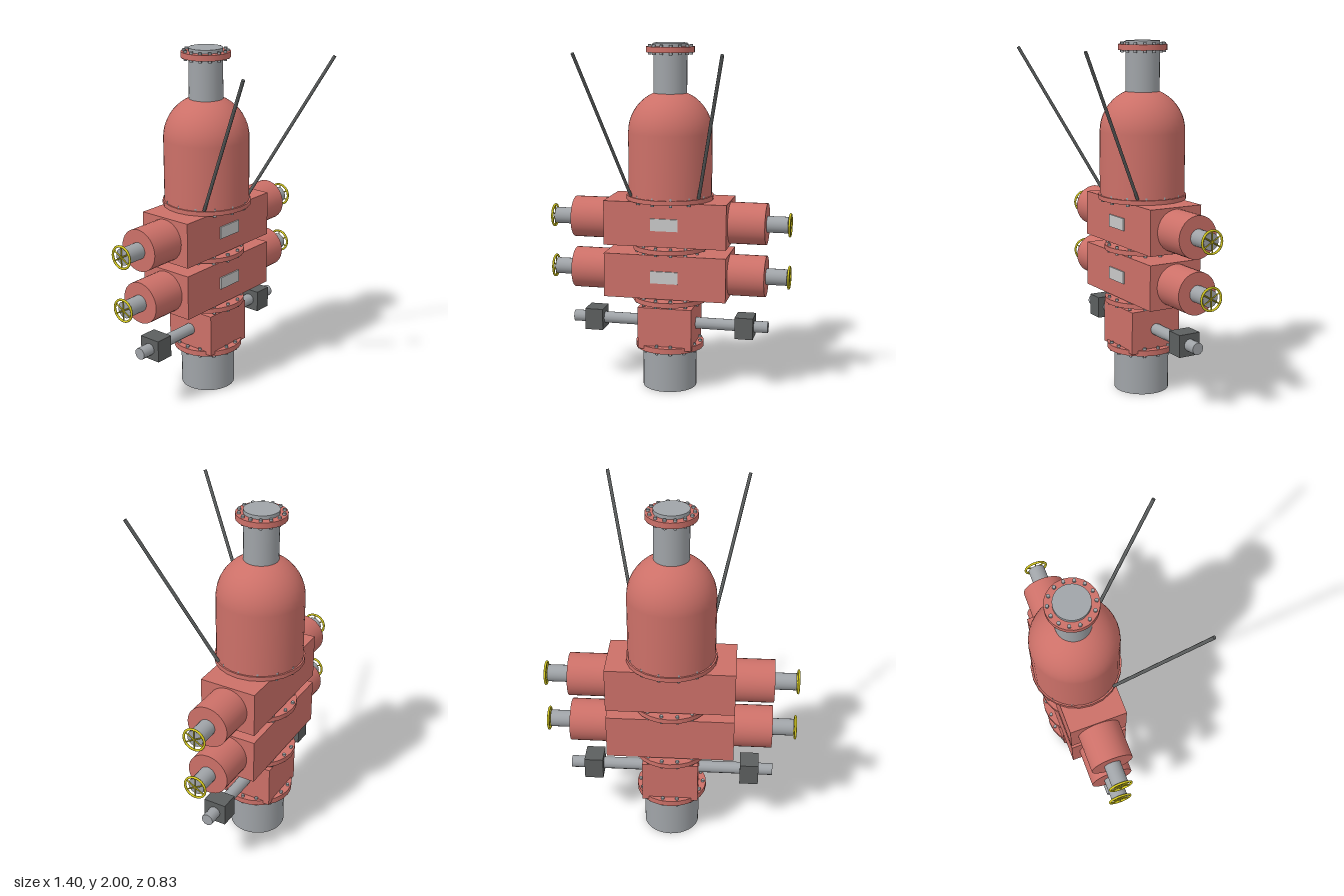
import * as THREE from 'three';

const mat = (name, color) => {
  const m = new THREE.MeshStandardMaterial({ color });
  m.name = name;
  return m;
};

export function createModel() {
  const red = mat('red paint', 0xcc7068);
  const steel = mat('steel grey', 0xa0a4a8);
  const dark = mat('dark iron', 0x5c5f5f);
  const yellow = mat('yellow paint', 0xd8cc20);
  const silver = mat('silver plate', 0xc8c8c8);

  const model = new THREE.Group();
  model.name = 'wellStack';
  // Everything is built around the vertical bore axis, which sits behind z = 0
  const stack = new THREE.Group();
  stack.name = 'stack';
  stack.position.z = -0.166;
  model.add(stack);

  const add = (name, geometry, material, x = 0, y = 0, z = 0, parent = stack) => {
    const mesh = new THREE.Mesh(geometry, material);
    mesh.name = name;
    mesh.position.set(x, y, z);
    parent.add(mesh);
    return mesh;
  };
  // Upright cylinder between two heights
  const pipe = (name, r, y0, y1, material, sides = 32) =>
    add(name, new THREE.CylinderGeometry(r, r, y1 - y0, sides), material, 0, (y0 + y1) / 2);
  // Horizontal cylinder between two x positions
  const rod = (name, r, x0, x1, y, material, sides = 32) => {
    const g = new THREE.CylinderGeometry(r, r, Math.abs(x1 - x0), sides).rotateZ(Math.PI / 2);
    return add(name, g, material, (x0 + x1) / 2, y);
  };

  // Bolted flange: a disc with a ring of 14 through-bolts
  const flange = (name, r, y0, y1) => {
    pipe(name, r, y0, y1, red, 24);
    const boltGeo = new THREE.CylinderGeometry(0.0095, 0.0095, y1 - y0 + 0.024, 8);
    for (let i = 0; i < 14; i++) {
      const a = (i / 14) * Math.PI * 2;
      add(name + 'Bolt', boltGeo, steel,
        Math.cos(a) * (r - 0.018), (y0 + y1) / 2, Math.sin(a) * (r - 0.018));
    }
  };

  // Bottom pipe and spool block
  pipe('bottomPipe', 0.157, 0, 0.245, steel);
  flange('bottomFlange', 0.199, 0.241, 0.273);
  add('spoolBlock', new THREE.BoxGeometry(0.314, 0.245, 0.314), red, 0, 0.3775);

  // Flanges between the blocks, with a narrow bore joining them
  pipe('bore', 0.1, 0.45, 0.9, red);
  flange('lowerFlange', 0.213, 0.52, 0.548);
  flange('middleFlange', 0.213, 0.825, 0.852);

  // Handwheel: rim and three crossing bars
  const handwheel = (x, y) => {
    const wheel = new THREE.Group();
    wheel.name = 'handwheel';
    wheel.position.set(x, y, 0);
    stack.add(wheel);
    add('wheelRim', new THREE.TorusGeometry(0.062, 0.0065, 8, 28).rotateY(Math.PI / 2),
      yellow, 0, 0, 0, wheel);
    const bar = new THREE.CylinderGeometry(0.004, 0.004, 0.124, 6);
    for (let i = 0; i < 3; i++) {
      add('wheelSpoke', bar, yellow, 0, 0, 0, wheel).rotation.x = (i * Math.PI) / 3;
    }
  };

  // Two ram blocks with bonnets, stems, wheels and name plates
  for (const y of [0.685, 0.99]) {
    add('ramBlock', new THREE.BoxGeometry(0.708, 0.256, 0.326), red, 0, y);
    add('namePlate', new THREE.BoxGeometry(0.158, 0.07, 0.009), silver, 0, y + 0.001, 0.1665);
    for (const s of [-1, 1]) {
      rod('ramBonnet', 0.119, s * 0.34, s * 0.564, y, red);
      rod('ramStem', 0.047, s * 0.55, s * 0.684, y, steel, 20);
      handwheel(s * 0.694, y);
    }
  }

  // Side lines with valve cubes
  for (const s of [-1, 1]) {
    rod('sideLine', 0.034, s * 0.15, s * 0.579, 0.383, steel, 12);
    add('sideValve', new THREE.BoxGeometry(0.106, 0.126, 0.13), dark, s * 0.446, 0.383);
  }

  // Domed body
  flange('domeFlange', 0.25, 1.118, 1.143);
  const profile = [new THREE.Vector2(0.24, 1.12)];
  for (let i = 0; i <= 12; i++) {
    const a = (i / 12) * Math.PI / 2;
    profile.push(new THREE.Vector2(Math.max(0.24 * Math.cos(a), 0), 1.5 + 0.24 * Math.sin(a)));
  }
  add('dome', new THREE.LatheGeometry(profile, 36), red);

  // Neck and top flange
  pipe('neck', 0.095, 1.65, 2, steel);
  flange('topFlange', 0.137, 1.948, 1.98);

  // Two slanted poles leaning forward and outward
  for (const s of [-1, 1]) {
    const a = new THREE.Vector3(s * 0.195, 1.15, -0.018);
    const b = new THREE.Vector3(s * 0.393, 1.963, 0.408);
    const dir = b.clone().sub(a);
    const pole = add('slantedPole', new THREE.CylinderGeometry(0.0095, 0.0095, dir.length(), 8), dark,
      0, 0, 0, model);
    pole.position.copy(a).add(b).multiplyScalar(0.5);
    pole.quaternion.setFromUnitVectors(new THREE.Vector3(0, 1, 0), dir.normalize());
  }

  return model;
}
